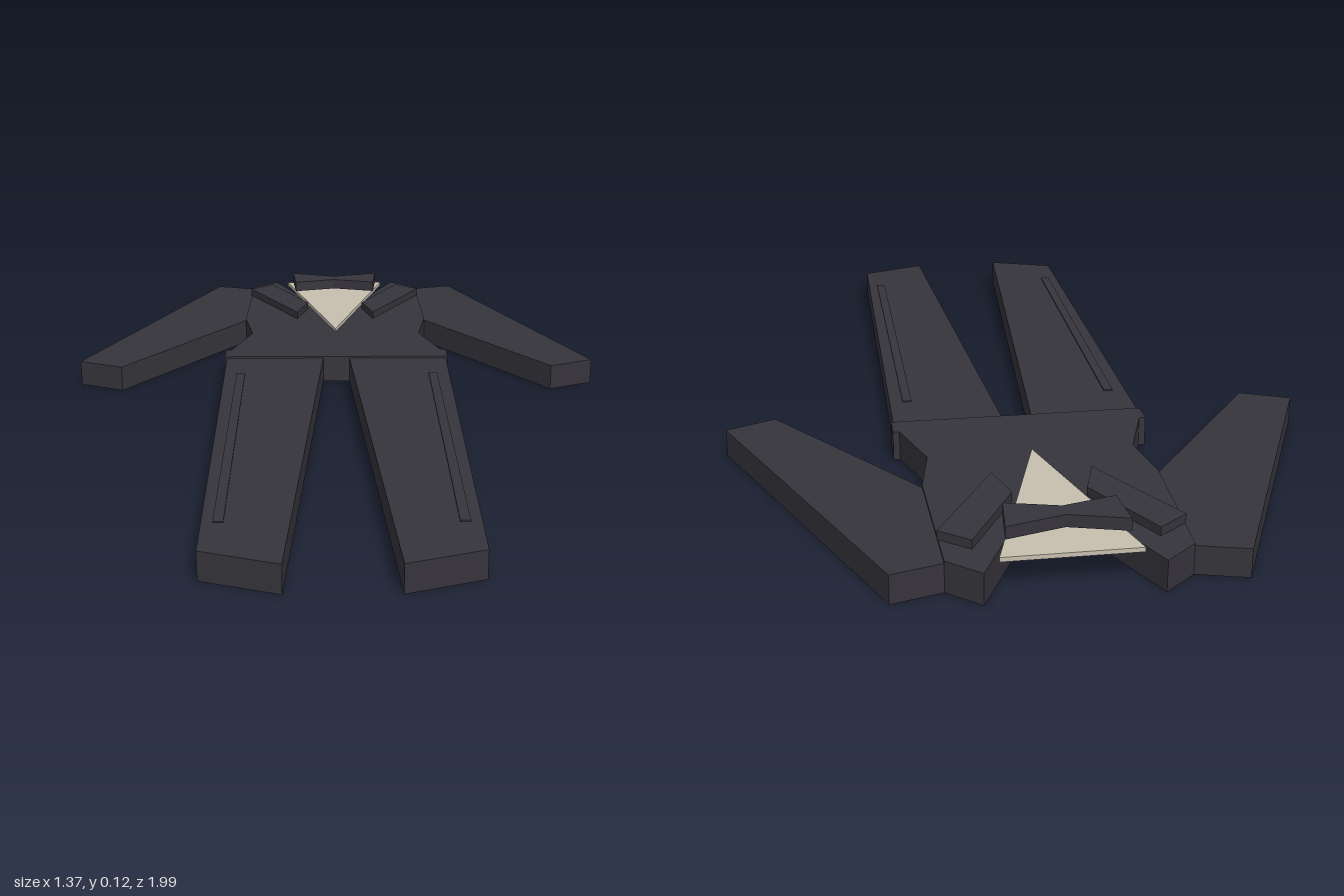
import * as THREE from 'three';

// Flat plate from an [x, z] outline, lying between two heights
function plate(name, outline, y0, y1, material) {
  const shape = new THREE.Shape(outline.map(([x, z]) => new THREE.Vector2(x, -z)));
  const geometry = new THREE.ExtrudeGeometry(shape, { depth: y1 - y0, bevelEnabled: false });
  geometry.rotateX(-Math.PI / 2);
  geometry.translate(0, y0, 0);
  const mesh = new THREE.Mesh(geometry, material);
  mesh.name = name;
  return mesh;
}

const flip = (outline) => outline.map(([x, z]) => [-x, z]).reverse();
const symmetric = (half) => [...half, ...flip(half)];

export function createModel() {
  const group = new THREE.Group();
  group.name = 'suit';

  const cloth = new THREE.MeshStandardMaterial({ color: 0x36343b });
  cloth.name = 'charcoal cloth';
  const linen = new THREE.MeshStandardMaterial({ color: 0xc8c0b0 });
  linen.name = 'cream linen';

  // Jacket body with open neck, waist and hem
  group.add(plate('jacket', symmetric([
    [0.1, -0.83], [0.18, -1], [0.25, -0.94], [0.26, -0.6], [0.235, -0.46],
    [0.285, -0.31], [0.3, -0.31], [0.3, -0.25],
  ]), 0, 0.07, cloth));

  // Shirt front and bow tie
  group.add(plate('shirtFront', [[-0.145, -0.96], [0.145, -0.96], [0, -0.47]], 0.07, 0.08, linen));
  group.add(plate('bowTie', [
    [-0.127, -0.915], [0, -0.88], [0.127, -0.915], [0.117, -0.81], [0, -0.84], [-0.117, -0.81],
  ], 0.094, 0.122, cloth));

  // Paired parts: sleeves, trouser legs, side stripes and lapels
  const pairs = [
    ['Sleeve', [[0.25, -0.94], [0.36, -0.97], [0.685, -0.23], [0.57, -0.18], [0.26, -0.6]], 0, 0.065],
    ['TrouserLeg', [[0.035, -0.25], [0.295, -0.25], [0.285, 0.93], [0.117, 0.99], [0.035, -0.25]].slice(0, 4), 0, 0.065],
    ['TrouserStripe', [[0.24, -0.12], [0.262, -0.12], [0.262, 0.8], [0.24, 0.8]], 0.065, 0.068],
    ['Lapel', [[0.255, -0.85], [0.19, -0.9], [0.08, -0.7], [0.11, -0.6]], 0.07, 0.09],
  ];
  for (const [name, outline, y0, y1] of pairs) {
    group.add(plate('left' + name, outline, y0, y1, cloth));
    group.add(plate('right' + name, flip(outline), y0, y1, cloth));
  }
  return group;
}
